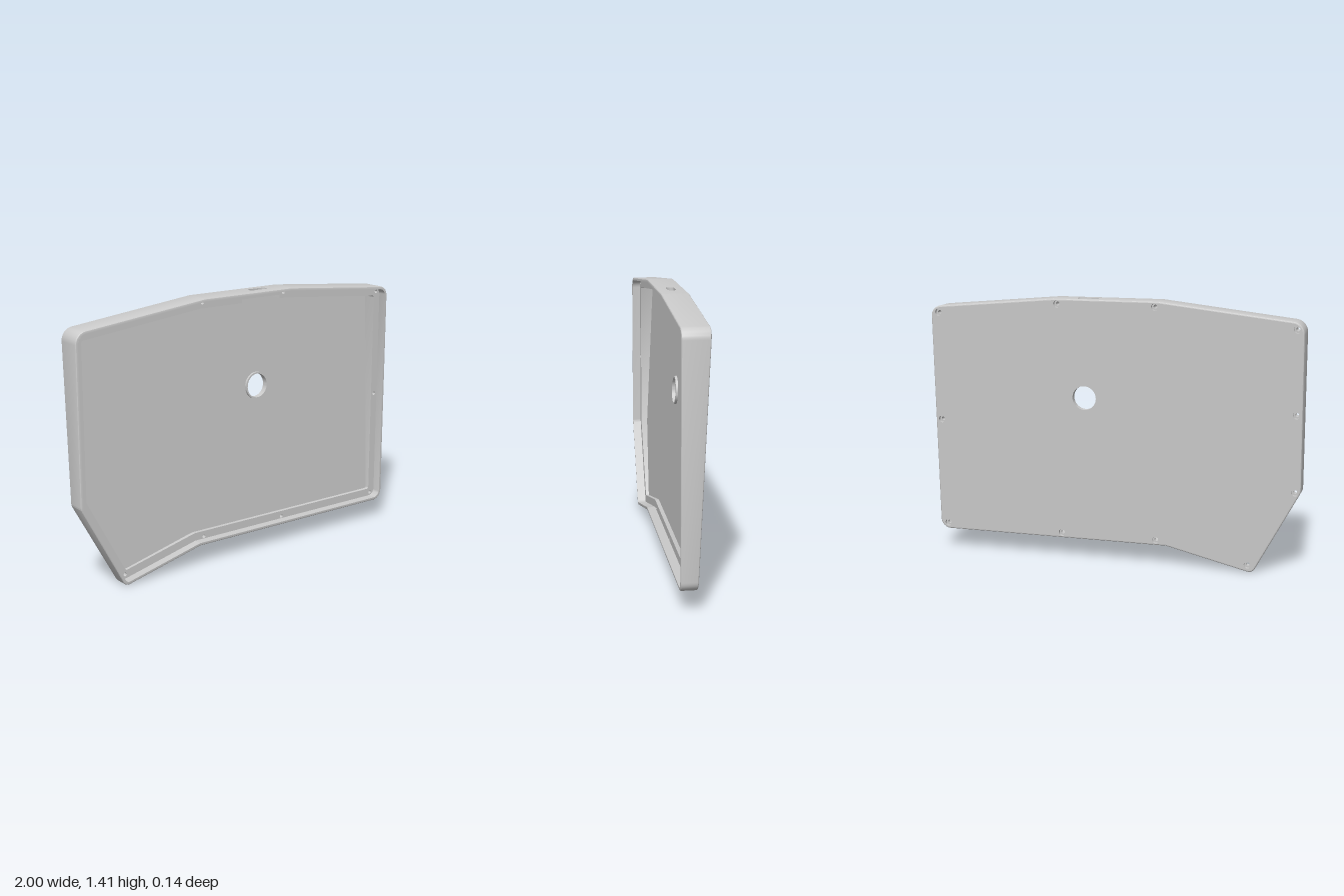
import * as THREE from 'three';
import { mergeGeometries, toCreasedNormals } from 'three/addons/utils/BufferGeometryUtils.js';

const V2 = (x, y) => new THREE.Vector2(x, y);
const V3 = (x, y, z) => new THREE.Vector3(x, y, z);

// Case outline, counter-clockwise: x, y, corner radius
const OUTLINE = [
  [-0.755, -0.008, 0.035], [-0.29, 0.105, 0.03], [1, 0.105, 0.055], [1, 1.351, 0.055],
  [0.31, 1.412, 0.05], [-0.25, 1.412, 0.05], [-1, 1.326, 0.065], [-1, 0.45, 0.04],
];
const K = 9;                       // points per rounded corner
const TOP = 5 * K - 1;             // index of the flat top segment
const FRONT = 0.071, LEDGE = 0.025, EDGE = 0.008, LIP = 0.016, INSET = 0.058;
const TOP_Y = 1.412, NOTCH_Y = 1.373;
const back = y => -0.009 - 0.044 * y;    // sloping back plane
const floorZ = y => back(y) + 0.02;

const SCREWS = [
  [-0.965, 1.294], [-0.235, 1.385], [0.29, 1.385], [0.958, 1.32], [0.965, 0.732], [0.955, 0.139],
  [0.29, 0.133], [-0.235, 0.133], [-0.73, 0.037], [-0.97, 0.45], [-0.97, 0.856],
];

// Rounded outline moved inwards by d; always the same number of points
function outline(d) {
  const pts = OUTLINE.map(([x, y]) => V2(x, y)), n = pts.length, out = [];
  const normal = (a, b) => V2(a.y - b.y, b.x - a.x).normalize();
  pts.forEach((p, i) => {
    const n1 = normal(pts[(i + n - 1) % n], p), n2 = normal(p, pts[(i + 1) % n]);
    const turn = Math.atan2(n1.cross(n2), n1.dot(n2)), s = Math.sign(turn);
    const r = Math.max(OUTLINE[i][2] - s * d, 0.01);
    const c = n1.clone().add(n2).multiplyScalar((d + s * r) / (1 + n1.dot(n2))).add(p);
    for (let k = 0; k < K; k++) {
      const m = n1.clone().rotateAround(V2(0, 0), turn * k / (K - 1));
      out.push(c.clone().addScaledVector(m, -s * r));
    }
  });
  return out;
}

function circle(cx, cy, r, n) {
  return Array.from({ length: n }, (_, i) => {
    const a = i / n * Math.PI * 2;
    return V2(cx + r * Math.cos(a), cy + r * Math.sin(a));
  });
}

const lift = (loop, z) => loop.map(p => V3(p.x, p.y, typeof z === 'function' ? z(p.y) : z));

function fromPoints(points) {
  return new THREE.BufferGeometry().setFromPoints(points);
}

// Skin a series of matching loops, leaving out one segment if asked
function skin(loops, skipLoop = -1, skipSegment = -1) {
  const tri = [];
  for (let l = 0; l + 1 < loops.length; l++) {
    const a = loops[l], b = loops[l + 1];
    for (let i = 0; i < a.length; i++) {
      if (l === skipLoop && i === skipSegment) continue;
      const j = (i + 1) % a.length;
      tri.push(a[i], b[i], b[j], a[i], b[j], a[j]);
    }
  }
  return fromPoints(tri);
}

// Flat sheet with holes, placed in space by a rule
function sheet(loop, holes, place, flip = false) {
  const shape = new THREE.Shape(loop);
  shape.holes = holes.map(h => new THREE.Path(h));
  const g = new THREE.ShapeGeometry(shape).toNonIndexed(), pos = g.attributes.position, tri = [];
  for (let i = 0; i < pos.count; i += 3) {
    for (const k of flip ? [0, 2, 1] : [0, 1, 2]) tri.push(place(pos.getX(i + k), pos.getY(i + k)));
  }
  return fromPoints(tri);
}

export function createModel() {
  const group = new THREE.Group();
  const material = new THREE.MeshStandardMaterial({ color: 0xcccccc });
  const add = (name, ...parts) => {
    const mesh = new THREE.Mesh(toCreasedNormals(mergeGeometries(parts), 0.5), material);
    mesh.name = name;
    group.add(mesh);
  };
  const rect = (x0, x1, z0, z1) => [V2(x0, z0), V2(x1, z0), V2(x1, z1), V2(x0, z1)];

  // Rounded slot for the cable port, in x and z
  const slot = [];
  for (let i = 0; i < 24; i++) {
    const a = (i + 0.5) / 24 * Math.PI * 2;
    slot.push(V2(0.138 + Math.sign(Math.cos(a)) * 0.037 + 0.021 * Math.cos(a), -0.003 + 0.021 * Math.sin(a)));
  }

  // Outer wall: lip, front rim with rounded edge, side, rounded back edge
  const lip = outline(LIP);
  const loops = [lift(lip, LEDGE), lift(lip, FRONT)];
  const steps = [0, 1, 2, 3].map(i => i * Math.PI / 6);
  for (const a of steps) loops.push(lift(outline(EDGE * (1 - Math.sin(a))), FRONT - EDGE * (1 - Math.cos(a))));
  const side = loops.length - 1;
  for (const a of steps) {
    loops.push(lift(outline(EDGE * (1 - Math.cos(a))), y => back(y) + EDGE * (1 - Math.sin(a))));
  }
  const s0 = loops[side][TOP], s1 = loops[side][TOP + 1];
  add('outerWall', skin(loops, side, TOP),
    sheet(rect(s1.x, s0.x, back(TOP_Y) + EDGE, FRONT - EDGE), [slot], (x, z) => V3(x, TOP_Y, z), true));

  // Inner outline, with a wider notch behind the port
  const inner = outline(INSET), y = TOP_Y - INSET;
  inner.splice(TOP + 1, 0, V2(0.265, y), V2(0.265, NOTCH_Y), V2(0.015, NOTCH_Y), V2(0.015, y));
  add('ledge', sheet(lip, [inner, ...SCREWS.map(([sx, sy]) => circle(sx, sy, 0.01, 16))],
    (px, py) => V3(px, py, LEDGE)));
  add('innerWall', skin([lift(inner, floorZ), lift(inner, LEDGE)], 0, TOP + 2),
    sheet(rect(0.015, 0.265, floorZ(NOTCH_Y), LEDGE), [slot], (x, z) => V3(x, NOTCH_Y, z)));
  add('cablePort', skin([TOP_Y, NOTCH_Y].map(h => slot.map(p => V3(p.x, h, p.y)))));

  // Floor and sloping back plate
  const ring = r => circle(0.15, 0.89, r, 48);
  add('floor', sheet(inner, [ring(0.073)], (px, py) => V3(px, py, floorZ(py))));
  add('backPlate', sheet(outline(EDGE), [ring(0.064), ...SCREWS.map(([sx, sy]) => circle(sx, sy, 0.019, 16))],
    (px, py) => V3(px, py, back(py)), true));

  // Raised collar round the through hole
  const collarTop = v => floorZ(v) + 0.012;
  add('holeCollar', skin([
    lift(ring(0.064), back), lift(ring(0.064), collarTop), lift(ring(0.073), collarTop), lift(ring(0.073), floorZ),
  ]));

  // Counterbored screw holes
  const seat = v => back(v) + 0.018;
  add('screwHoles', ...SCREWS.map(([sx, sy]) => {
    const wide = circle(sx, sy, 0.019, 16), narrow = circle(sx, sy, 0.01, 16);
    return skin([lift(wide, back), lift(wide, seat), lift(narrow, seat), lift(narrow, LEDGE)]);
  }));

  return group;
}
